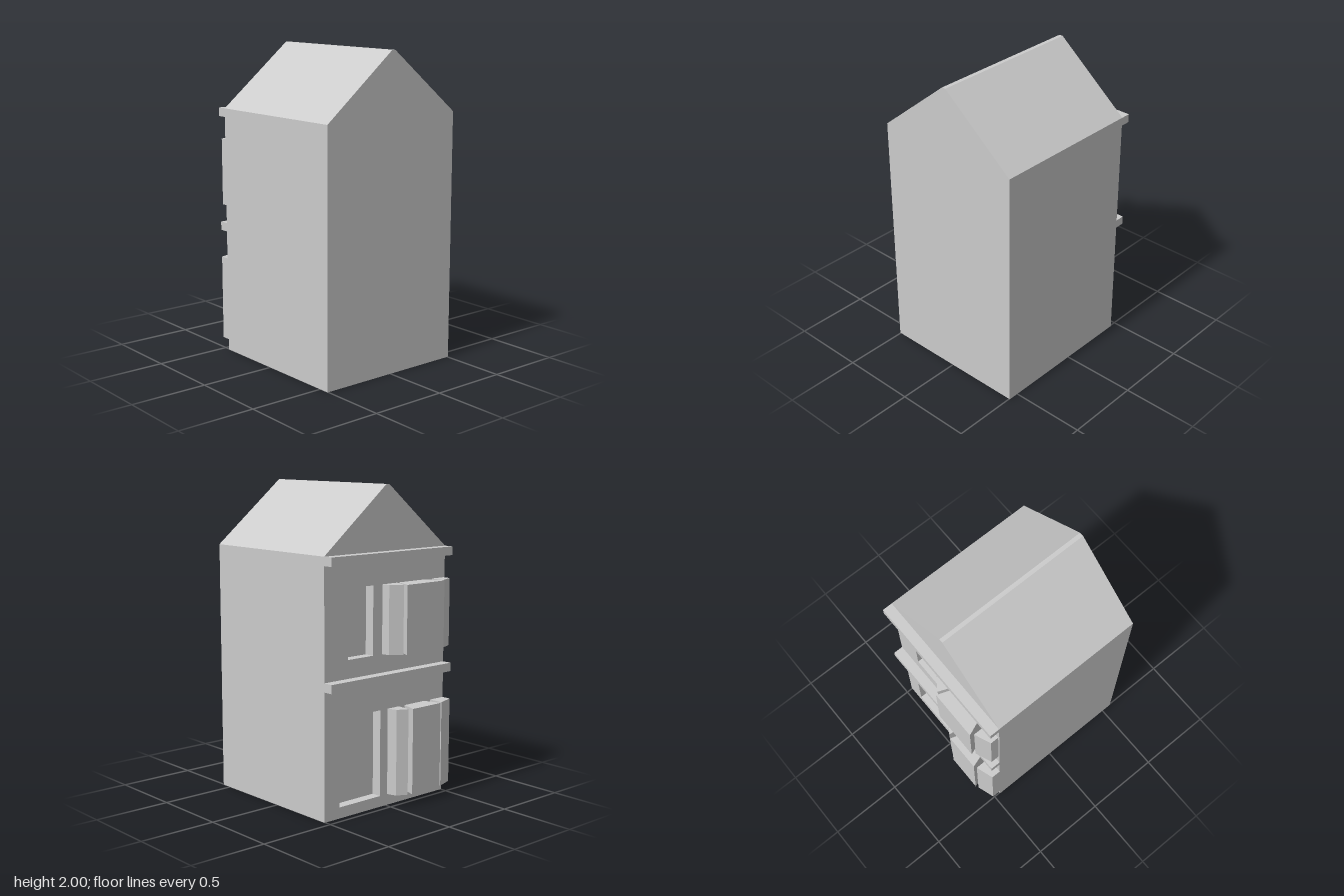
import * as THREE from 'three';

const FRONT = 0.57, FACADE = -0.455, RECESS = 0.065;

const material = new THREE.MeshStandardMaterial({ color: 0xcccccc, flatShading: true });

function addMesh(group, name, geometry) {
  const mesh = new THREE.Mesh(geometry, material);
  mesh.name = name;
  group.add(mesh);
  return mesh;
}

// Gabled house outline with a narrow flat ridge
function gableShape() {
  return new THREE.Shape([
    [-0.505, 0], [0.505, 0], [0.505, 1.6], [0.013, 2], [-0.013, 2], [-0.505, 1.6],
  ].map(([x, y]) => new THREE.Vector2(x, y)));
}

function rectHole(x0, x1, y0, y1) {
  return new THREE.Path([[x0, y0], [x0, y1], [x1, y1], [x1, y0]].map(([x, y]) => new THREE.Vector2(x, y)));
}

// Upright prism from a plan outline of [x, z] points
function prism(plan, y0, y1) {
  const shape = new THREE.Shape(plan.map(([x, z]) => new THREE.Vector2(x, -z)));
  return new THREE.ExtrudeGeometry(shape, { depth: y1 - y0, bevelEnabled: false })
    .rotateX(-Math.PI / 2).translate(0, y0, 0);
}

export function createModel() {
  const house = new THREE.Group();
  house.name = 'house';

  // Solid body behind the recessed facade
  const body = new THREE.ExtrudeGeometry(gableShape(), { depth: FRONT - FACADE - RECESS, bevelEnabled: false });
  addMesh(house, 'body', body.translate(0, 0, FACADE + RECESS));

  // Facade layer with door and window openings
  const facadeShape = gableShape();
  facadeShape.holes.push(rectHole(0.05, 0.386, 0.07, 0.62), rectHole(0.115, 0.32, 0.97, 1.4));
  const facade = new THREE.ExtrudeGeometry(facadeShape, { depth: RECESS, bevelEnabled: false });
  addMesh(house, 'facade', facade.translate(0, 0, FACADE));

  // Horizontal ledges above each storey
  for (const [name, y] of [['lowerLedge', 0.8275], ['upperLedge', 1.5725]]) {
    const ledge = addMesh(house, name, new THREE.BoxGeometry(1.01, 0.055, 0.065));
    ledge.position.set(0, y, FACADE - 0.0325);
  }

  // Bay windows: a flared centre panel between two angled side panels
  const bays = [
    {
      name: 'lowerBay', y0: 0.07, y1: 0.62,
      centre: [[-0.335, FACADE], [-0.372, -0.565], [-0.125, -0.565], [-0.16, FACADE]],
      inner: [[-0.013, FACADE], [-0.032, -0.515], [-0.1, -0.55], [-0.11, FACADE]],
      outer: [[-0.505, FACADE], [-0.505, -0.517], [-0.39, -0.555], [-0.39, FACADE]],
    },
    {
      name: 'upperBay', y0: 0.97, y1: 1.4,
      centre: [[-0.33, FACADE], [-0.378, -0.575], [-0.055, -0.575], [-0.1, FACADE]],
      inner: [[0.039, FACADE], [0.03, -0.505], [-0.045, -0.555], [-0.085, FACADE]],
      outer: [[-0.495, FACADE], [-0.495, -0.51], [-0.39, -0.553], [-0.39, FACADE]],
    },
  ];
  for (const bay of bays) {
    const group = new THREE.Group();
    group.name = bay.name;
    for (const part of ['centre', 'inner', 'outer']) {
      addMesh(group, part + 'Panel', prism(bay[part], bay.y0, bay.y1));
    }
    house.add(group);
  }

  return house;
}
